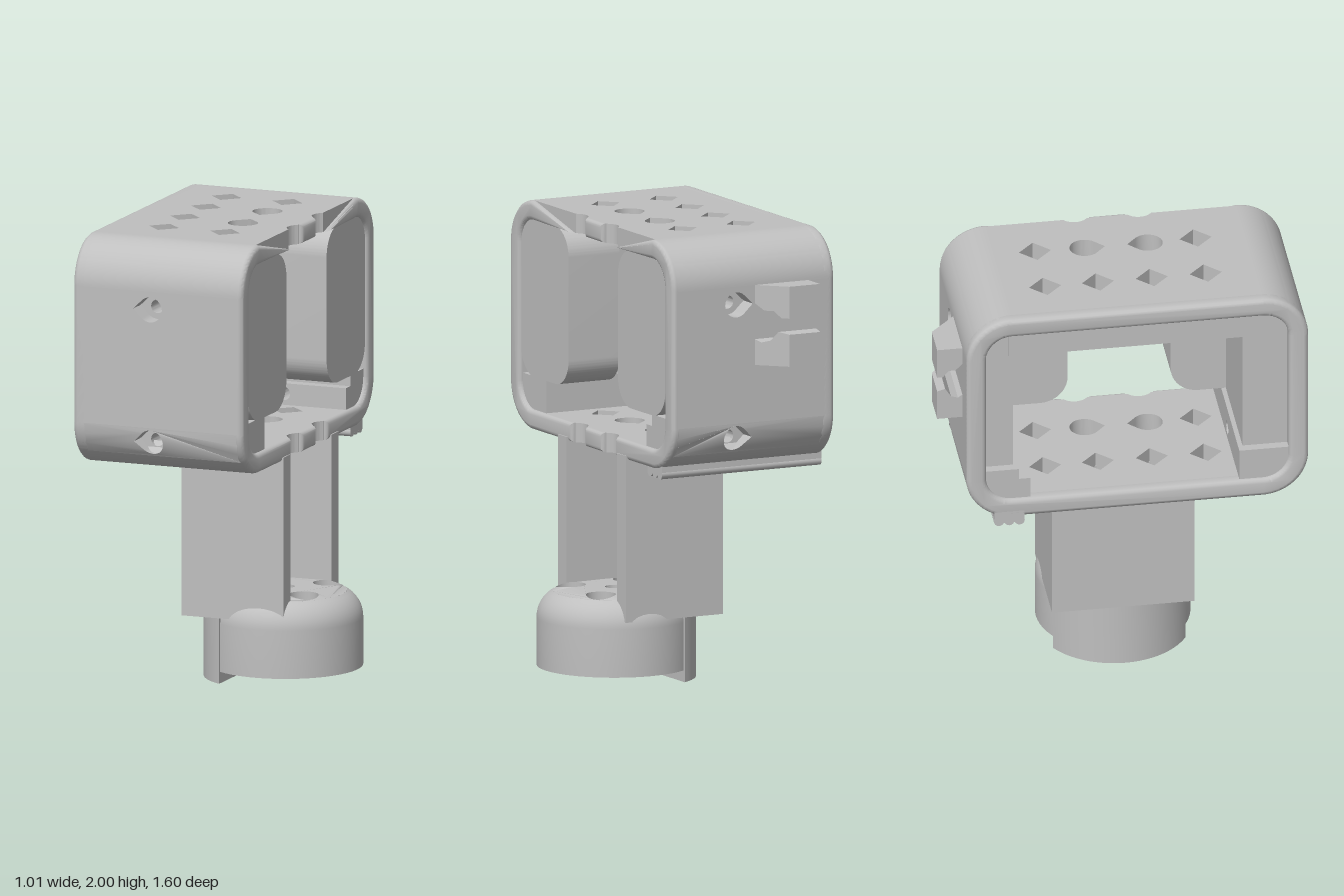
import * as THREE from 'three';
import { toCreasedNormals } from 'three/addons/utils/BufferGeometryUtils.js';

const PI = Math.PI;

export function createModel() {
  const model = new THREE.Group();
  const grey = new THREE.MeshStandardMaterial({ color: 0xbfbfbf });
  grey.name = 'grey plastic';

  const add = (name, geo) => {
    const mesh = new THREE.Mesh(toCreasedNormals(geo, 0.6), grey);
    mesh.name = name;
    model.add(mesh);
  };
  const extrude = (shape, depth, bevel = 0) => new THREE.ExtrudeGeometry(shape, {
    depth: depth - 2 * bevel, curveSegments: 16, bevelEnabled: bevel > 0,
    bevelThickness: bevel, bevelSize: bevel, bevelOffset: -bevel, bevelSegments: 3,
  }).translate(0, 0, bevel);
  // shapes drawn in (-z, y) and pushed along x
  const alongX = (shape, x0, x1, bevel) => extrude(shape, x1 - x0, bevel).rotateY(PI / 2).translate(x0, 0, 0);
  // shapes drawn in (x, -z) and pushed along y
  const alongY = (shape, y0, y1) => extrude(shape, y1 - y0).rotateX(-PI / 2).translate(0, y0, 0);
  const alongZ = (shape, z0, z1) => extrude(shape, z1 - z0).translate(0, 0, z0);
  const poly = (pts) => new THREE.Shape(pts.map((p) => new THREE.Vector2(...p)));
  const rect = (x0, x1, y0, y1) => poly([[x0, y0], [x1, y0], [x1, y1], [x0, y1]]);
  const box = (name, x0, x1, y0, y1, z0, z1) => add(name, alongZ(rect(x0, x1, y0, y1), z0, z1));
  const circle = (x, y, r, Kind = THREE.Path) => new Kind().absarc(x, y, r, 0, 2 * PI, false);
  // round hole with one pointed end in direction a
  const teardrop = (x, y, r, a, tip) => {
    const p = new THREE.Path();
    p.absarc(x, y, r, a + 0.75, a + 2 * PI - 0.75, false);
    p.lineTo(x + tip * Math.cos(a), y + tip * Math.sin(a));
    p.closePath();
    return p;
  };
  const roundRect = (x0, x1, y0, y1, r, Kind = THREE.Shape) => {
    const s = new Kind();
    s.absarc(x1 - r, y1 - r, r, 0, PI / 2, false);
    s.absarc(x0 + r, y1 - r, r, PI / 2, PI, false);
    s.absarc(x0 + r, y0 + r, r, PI, 1.5 * PI, false);
    s.absarc(x1 - r, y0 + r, r, 1.5 * PI, 2 * PI, false);
    s.closePath();
    return s;
  };

  // ---- case: rims, corners and pierced walls ----
  const R = 0.2, r = 0.115, XA = -0.49, XB = 0.26;
  const ends = [{ name: 'front', c: -0.6, d: -1, holeX: -0.15 }, { name: 'back', c: 0.49, d: 1, holeX: -0.03 }];

  const ring = roundRect(-0.8, 0.69, 1, 2, R);
  ring.holes.push(roundRect(-0.715, 0.605, 1.085, 1.915, r, THREE.Path));
  add('closedRim', alongX(ring, -0.51, -0.44, 0.02));

  // open rim, interrupted by the screwdriver notches
  for (const { name, c, d } of ends) {
    const e = d < 0 ? -0.24 : 0.16, side = d < 0 ? PI : 0, down = d < 0 ? 1.5 * PI : -PI / 2;
    const s = new THREE.Shape();
    s.moveTo(e, 2);
    s.absarc(c, 1.8, R, PI / 2, side, d > 0);
    s.absarc(c, 1.2, R, side, down, d > 0);
    s.lineTo(e, 1);
    s.lineTo(e, 1.085);
    s.absarc(c, 1.2, r, down, side, d < 0);
    s.absarc(c, 1.8, r, side, PI / 2, d < 0);
    s.lineTo(e, 1.915);
    s.closePath();
    add(name + 'OpenRim', alongX(s, 0.235, 0.28, 0.02));
  }
  for (const y of [1, 1.915]) add('middleOpenRim', alongX(rect(-0.12, 0.04, y, y + 0.085), 0.235, 0.28, 0.02));

  // top and bottom walls with diamond and round holes
  for (const y of [1, 1.915]) {
    const s = new THREE.Shape();
    s.moveTo(XA, -0.6);
    s.lineTo(XB, -0.6);
    for (const n of [-0.18, 0.1]) {
      const a = Math.acos((0.3 - XB) / 0.065);
      s.absarc(0.3, n, 0.065, PI + a, PI - a, true);
    }
    s.lineTo(XB, 0.49);
    s.lineTo(XA, 0.49);
    s.closePath();
    const diamond = (x, v) => s.holes.push(poly([[x - 0.07, v], [x, v - 0.07], [x + 0.07, v], [x, v + 0.07]]));
    for (const v of [0.31, 0.08, -0.155, -0.39]) diamond(-0.255, v);
    for (const v of [0.31, -0.39]) diamond(0.03, v);
    s.holes.push(teardrop(0.025, 0.095, 0.065, -PI / 2, 0.089));
    s.holes.push(teardrop(0.025, -0.18, 0.065, PI / 2, 0.089));
    add(y > 1.5 ? 'topWall' : 'bottomWall', alongY(s, y, y + 0.085));
  }

  // front and back walls, corners and inner ledges
  const low = 1.07, phi = Math.asin((1.2 - low) / R);
  for (const { name, c, d, holeX } of ends) {
    const face = -c - d * R, inner = face + d * 0.085;
    const z0 = Math.min(face, inner), z1 = Math.max(face, inner);
    const wall = rect(XA, XB, 1.2, 1.8);
    wall.holes.push(teardrop(holeX, 1.72, 0.055, PI, 0.08));
    add(name + 'Wall', alongZ(wall, z0, z1));

    // lower strip follows the corner curve on its outer side
    const strip = poly([[XA, low], [XB, low], [XB, 1.11], [XB, 1.15], [XB, 1.2], [XA, 1.2], [XA, 1.15], [XA, 1.11]]);
    strip.holes.push(teardrop(holeX, 1.135, 0.055, PI, 0.08));
    const g = alongZ(strip, z0, z1), p = g.attributes.position;
    for (let i = 0; i < p.count; i++) {
      if (Math.abs(p.getZ(i) - face) < 0.001) {
        p.setZ(i, -c - d * Math.sqrt(R * R - (1.2 - p.getY(i)) ** 2));
      }
    }
    add(name + 'LowerStrip', g);

    const corner = (cy, a0, a1) => {
      const s = new THREE.Shape();
      s.absarc(c, cy, R, a0, a1, false);
      s.absarc(c, cy, r, a1, a0, true);
      s.closePath();
      add(name + 'Corner', alongX(s, XA, XB));
    };
    if (d < 0) {
      corner(1.8, PI / 2, PI);
      corner(1.2, PI + phi, 1.5 * PI);
    } else {
      corner(1.8, 0, PI / 2);
      corner(1.2, -PI / 2, -phi);
    }

    const block = (label, x0, x1, y0, y1, za, zb, hy) => {
      const s = rect(x0, x1, y0, y1);
      s.holes.push(circle(holeX, hy, 0.03));
      add(name + label, alongZ(s, za, zb));
    };
    if (d < 0) {
      block('Ledge', XA, XB, 1.06, 1.23, 0.5, 0.715, 1.135);
      block('InnerBlock', -0.45, 0.04, 1.23, 1.915, 0.52, 0.715, 1.72);
    } else {
      block('Ledge', XA, XB, 1.06, 1.18, -0.605, -0.41, 1.135);
      box('backLedgeStep', XA, XB, 1.18, 1.23, -0.605, -0.46);
      block('InnerBlock', -0.45, 0.04, 1.23, 1.915, -0.605, -0.48, 1.72);
    }
  }
  box('topLip', -0.46, -0.36, 1.79, 1.92, -0.5, 0.54);

  // ---- retaining pads on the open side ----
  add('frontPad', alongX(roundRect(-0.71, -0.28, 1.23, 1.92, 0.12), 0.02, 0.27));
  add('backPad', alongX(roundRect(0.17, 0.6, 1.23, 1.92, 0.12), 0.02, 0.27));

  // ---- grip ridges under the back edge ----
  box('gripBase', -0.51, 0.27, 0.975, 1.03, -0.57, -0.44);
  for (const z of [-0.46, -0.505, -0.55]) {
    add('gripRidge', new THREE.CylinderGeometry(0.022, 0.022, 0.78, 16).rotateZ(PI / 2).translate(-0.12, 0.982, z));
  }

  // ---- snap clip on the back, tapered on one side ----
  const jaws = [
    [[0.68, 1.8], [0.8, 1.8], [0.8, 1.66], [0.775, 1.66], [0.75, 1.69], [0.72, 1.69], [0.68, 1.73]],
    [[0.68, 1.45], [0.8, 1.45], [0.8, 1.59], [0.765, 1.6], [0.74, 1.56], [0.71, 1.55], [0.68, 1.57]],
  ];
  for (const jaw of jaws) {
    const g = alongX(poly(jaw), -0.38, -0.23), p = g.attributes.position;
    for (let i = 0; i < p.count; i++) if (p.getX(i) > -0.3) p.setX(i, -0.23 + p.getZ(i) + 0.8);
    add('clipJaw', g);
  }

  // ---- channel column ----
  add('column', alongY(poly([
    [-0.19, -0.35], [0.285, -0.35], [0.285, -0.27], [-0.11, -0.27],
    [-0.11, 0.19], [0.285, 0.19], [0.285, 0.27], [-0.19, 0.27],
  ]), 0.29, 1.02));

  // ---- round foot with counterbored screw holes ----
  const cx = 0.17, cz = 0.05, core = 0.265;
  const domeY = (q) => (q <= 0.205 ? 0.39 : 0.26 + Math.sqrt(Math.max(0, 0.13 ** 2 - (q - 0.205) ** 2)));
  const profile = [[core, 0.05], [0.335, 0.05], [0.335, 0.26]];
  for (let i = 1; i <= 8; i++) {
    const q = 0.335 - (0.07 * (i / 8) ** 2);
    profile.push([q, domeY(q)]);
  }
  add('footRim', new THREE.LatheGeometry(profile.map((p) => new THREE.Vector2(...p)), 64).translate(cx, 0, cz));
  const footDisc = (holeR, y0, y1) => {
    const s = circle(cx, -cz, core, THREE.Shape);
    for (const x of [0.03, 0.31]) for (const v of [0.09, -0.185]) s.holes.push(circle(x, v, holeR));
    s.holes.push(circle(cx, -cz, 0.04));
    return alongY(s, y0, y1);
  };
  add('footLowerCore', footDisc(0.042, 0.05, 0.18));
  const upper = footDisc(0.065, 0.18, 0.39), up = upper.attributes.position;
  for (let i = 0; i < up.count; i++) {
    if (up.getY(i) > 0.3) up.setY(i, domeY(Math.hypot(up.getX(i) - cx, up.getZ(i) - cz)));
  }
  add('footUpperCore', upper);

  // heel segment reaching the ground
  const a = Math.acos(0.17 / 0.335);
  const heel = new THREE.Shape();
  heel.absarc(0.15, -cz, 0.335, PI - a, PI + a, false);
  heel.closePath();
  add('heel', alongY(heel, 0, 0.29));

  return model;
}
